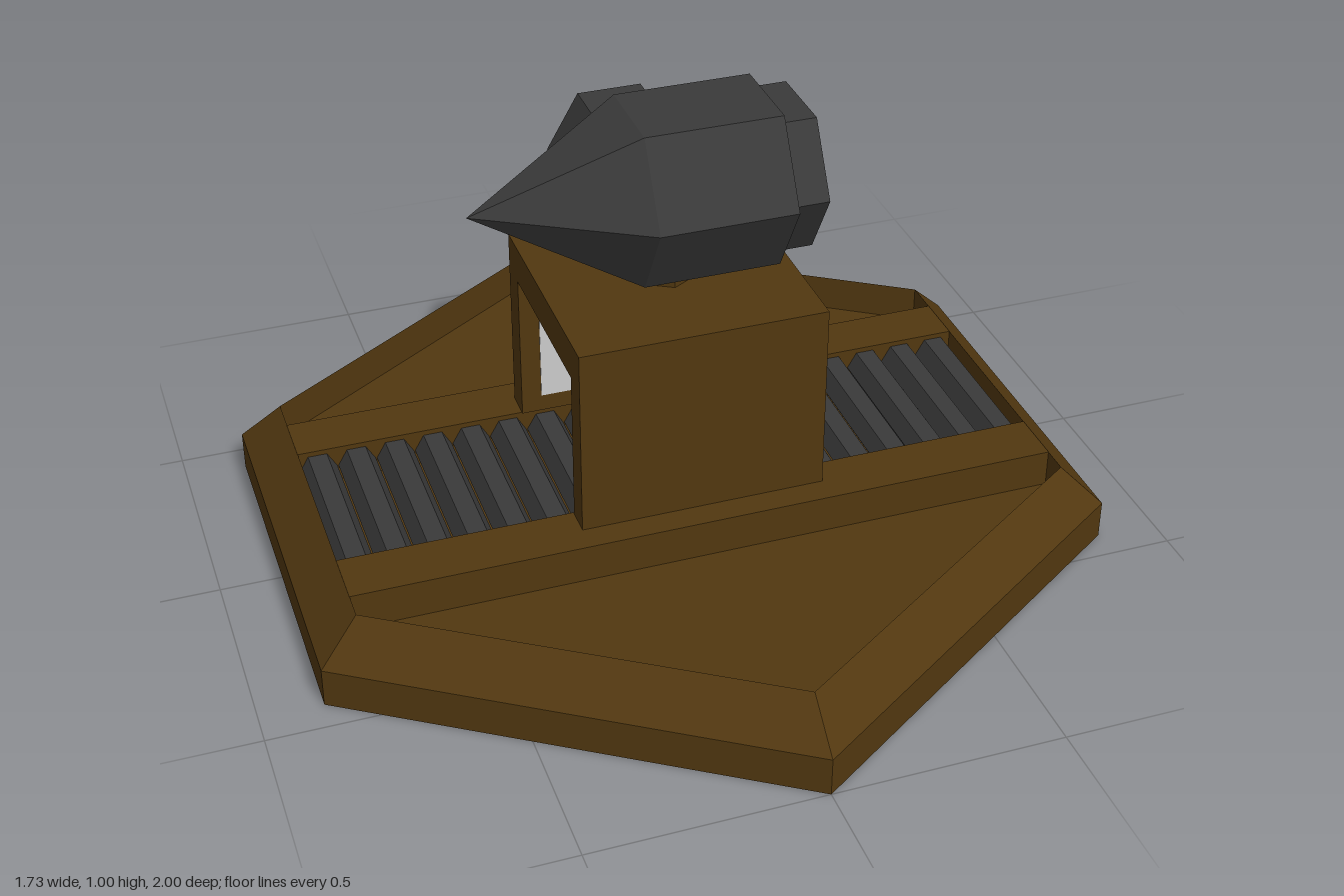
import * as THREE from 'three';

const paint = (color) => new THREE.MeshStandardMaterial({ color, flatShading: true });

export function createModel() {
  const group = new THREE.Group();
  const brown = paint(0x523810);
  const dark = paint(0x3a3a3a);
  const pale = paint(0xcccccc);

  const add = (name, geometry, material) => {
    const mesh = new THREE.Mesh(geometry, material);
    mesh.name = name;
    group.add(mesh);
    return mesh;
  };
  // six-sided turned shape from [radius, height] pairs, listed outside-facing
  const hexTurn = (profile) =>
    new THREE.LatheGeometry(profile.map(([r, y]) => new THREE.Vector2(r, y)), 6);
  // box given by its limits on each axis
  const span = (x0, x1, y0, y1, z0, z1) =>
    new THREE.BoxGeometry(x1 - x0, y1 - y0, z1 - z0)
      .translate((x0 + x1) / 2, (y0 + y1) / 2, (z0 + z1) / 2);

  // Base: bevelled hexagonal tray with a sunken floor, side corners pulled inwards
  const floorY = 0.09, rimY = 0.175;
  const base = hexTurn([[0, 0], [1, 0], [1, 0.0875], [0.9, rimY], [0.9, floorY], [0, floorY]]);
  const pos = base.attributes.position;
  for (let i = 0; i < pos.count; i++) {
    if (Math.abs(pos.getX(i)) > 0.01) pos.setZ(i, pos.getZ(i) * 0.866);
  }
  base.computeVertexNormals();
  add('base', base, brown);

  // Rails either side of the roller bed
  add('frontRail', span(-0.78, 0.78, floorY, rimY, 0.205, 0.33), brown);
  add('backRail', span(-0.78, 0.78, floorY, rimY, -0.31, -0.19), brown);

  // Row of hexagonal rollers
  const rollers = 18, pitch = 1.56 / rollers;
  const roller = new THREE.CylinderGeometry(0.042, 0.042, 0.395, 6)
    .rotateY(Math.PI / 2).rotateX(Math.PI / 2);
  for (let i = 0; i < rollers; i++) {
    add('roller', roller, dark).position.set(-0.78 + pitch * (i + 0.5), 0.127, 0.0075);
  }

  // Housing: an arch open along the rollers
  const arch = new THREE.Shape([
    [0.27, rimY], [0.27, 0.605], [-0.25, 0.605], [-0.25, rimY],
    [-0.185, rimY], [-0.185, 0.52], [0.21, 0.52], [0.21, rimY],
  ].map(([z, y]) => new THREE.Vector2(z, y)));
  const housing = new THREE.ExtrudeGeometry(arch, { depth: 0.54, bevelEnabled: false })
    .rotateY(-Math.PI / 2).translate(0.27, 0, 0);
  add('housing', housing, brown);

  // Window set through the back wall
  add('window', span(-0.225, 0.225, 0.215, 0.565, -0.252, -0.183), pale);

  // Neck under the head
  add('neck', new THREE.CylinderGeometry(0.063, 0.063, 0.07, 6).translate(0, 0.635, 0.015), brown);

  // Head: pointed hexagonal body with a stepped, hollow collar
  const head = hexTurn([
    [0, -0.43], [0.2, -0.085], [0.2, 0.212], [0.173, 0.217],
    [0.173, 0.288], [0.14, 0.288], [0.14, 0.235], [0, 0.235],
  ]).rotateZ(-Math.PI / 2).translate(0, 0.828, 0.035);
  add('head', head, dark);

  // Eyepiece on the back of the head, with a pale lens
  const toBack = (geometry) => geometry.rotateY(Math.PI / 2).rotateX(-Math.PI / 2)
    .translate(-0.052, 0.825, 0);
  add('eyepiece', toBack(hexTurn([
    [0, 0], [0.139, 0], [0.139, 0.2], [0.095, 0.2], [0.095, 0.175], [0, 0.175],
  ])), dark);
  add('lens', toBack(hexTurn([[0.095, 0.178], [0, 0.178]])), pale);

  return group;
}
